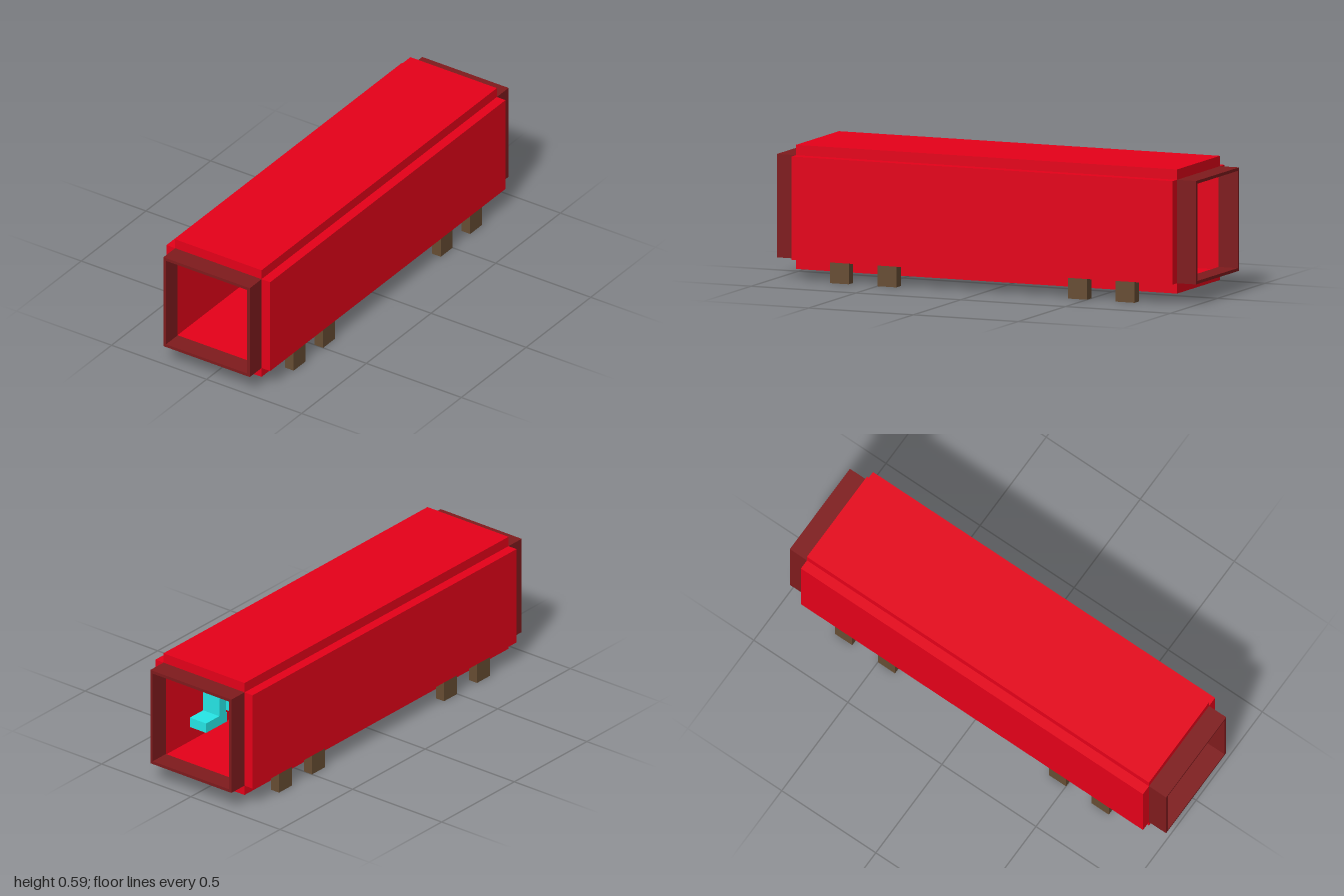
import * as THREE from 'three';

const U = 1 / 22; // building unit: the model is 44 units long

const red = new THREE.MeshStandardMaterial({ color: 0xe60019 });
red.name = 'red bodywork';
const maroon = new THREE.MeshStandardMaterial({ color: 0x7f1b1d });
maroon.name = 'dark red frame';
const brown = new THREE.MeshStandardMaterial({ color: 0x674d33 });
brown.name = 'brown wheel';
const cyan = new THREE.MeshStandardMaterial({ color: 0x26e8e8 });
cyan.name = 'turquoise seat';

// Box given by its lower and upper corners, in building units
function box(name, material, [x0, y0, z0], [x1, y1, z1]) {
  const geometry = new THREE.BoxGeometry((x1 - x0) * U, (y1 - y0) * U, (z1 - z0) * U);
  const mesh = new THREE.Mesh(geometry, material);
  mesh.position.set((x0 + x1) / 2 * U, (y0 + y1) / 2 * U, (z0 + z1) / 2 * U);
  mesh.name = name;
  return mesh;
}

// Thin rectangular ring around an open end
function endFrame(name, z) {
  const shape = new THREE.Shape([[-5, 2], [5, 2], [5, 12], [-5, 12]]
    .map(([x, y]) => new THREE.Vector2(x * U, y * U)));
  shape.holes.push(new THREE.Path([[-4.7, 2.3], [-4.7, 11.7], [4.7, 11.7], [4.7, 2.3]]
    .map(([x, y]) => new THREE.Vector2(x * U, y * U))));
  const geometry = new THREE.ExtrudeGeometry(shape, { depth: 2 * U, bevelEnabled: false });
  const mesh = new THREE.Mesh(geometry, maroon);
  mesh.position.z = z * U;
  mesh.name = name;
  return mesh;
}

// Bench facing the back, its cushion reaching just past the backrest
function seat(name, x, z) {
  const group = new THREE.Group();
  group.name = name;
  group.add(
    box('seatCushion', cyan, [x - 1, 3.53, z], [x + 1, 4.54, z + 3.15]),
    box('seatBack', cyan, [x - 1, 4.54, z + 2], [x + 1, 6.5, z + 3]),
  );
  return group;
}

export function createModel() {
  const model = new THREE.Group();
  model.name = 'carriage';

  // Roof, floor and open end frames
  model.add(
    box('roof', red, [-5, 12, -20], [5, 13, 20]),
    box('floor', red, [-5, 1, -20], [5, 2, 20]),
    endFrame('frontFrame', 20),
    endFrame('backFrame', -22),
  );

  for (const [side, s] of [['left', 1], ['right', -1]]) {
    // Side wall
    const x = 5.5 * s;
    model.add(box(side + 'Wall', red, [x - 0.5, 2, -20], [x + 0.5, 12, 20]));

    // Four square wheels under the wall
    for (const z of [-15, -10, 10, 15]) {
      model.add(box(side + 'Wheel', brown, [x - 0.5, 0, z - 1], [x + 0.5, 2, z + 1]));
    }

    // Row of seats along the wall
    for (let i = 0; i < 5; i++) model.add(seat(side + 'Seat', 4 * s, -16 + 5 * i));
  }
  return model;
}
